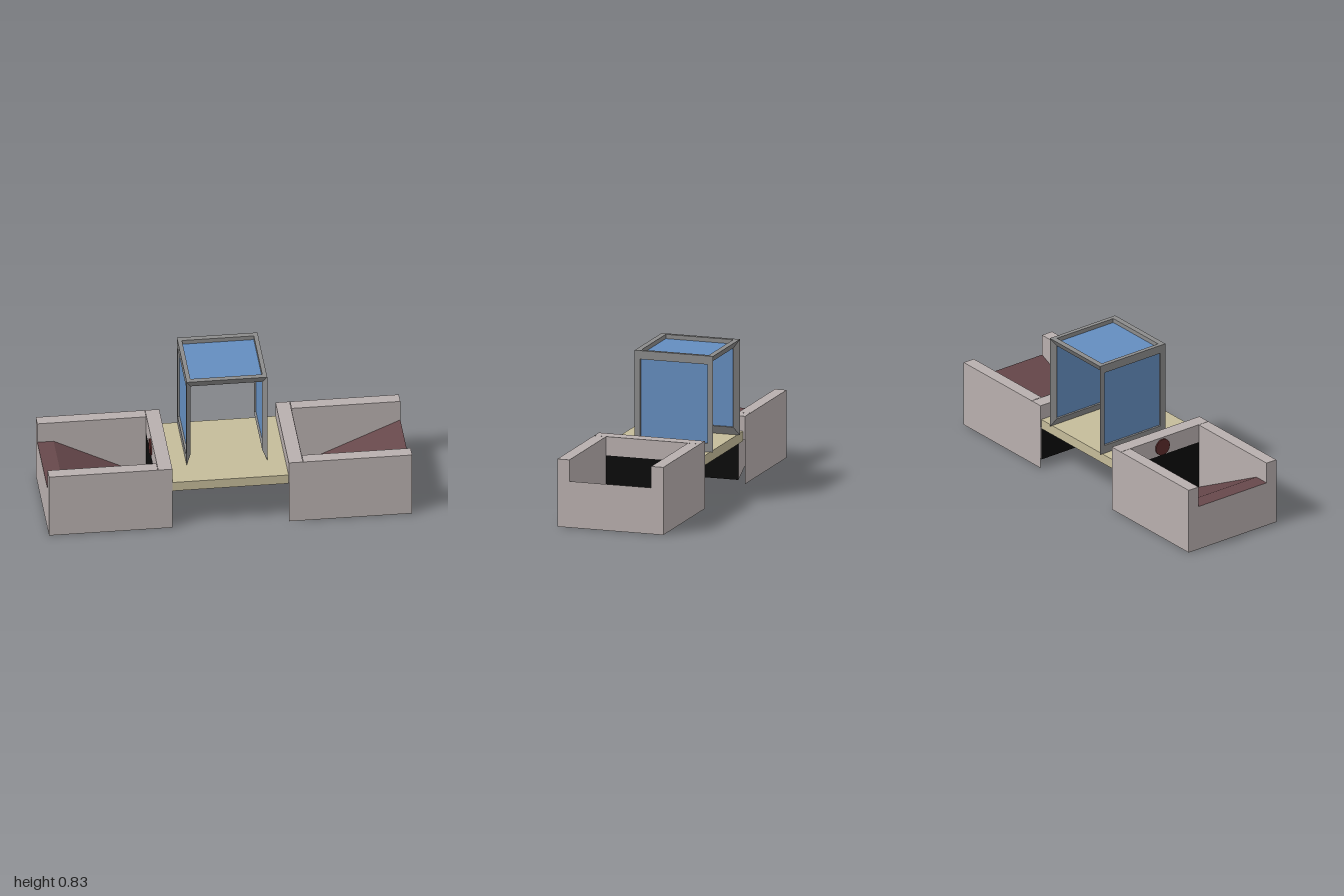
import * as THREE from 'three';

const mat = (name, color) => {
  const m = new THREE.MeshStandardMaterial({ color, side: THREE.DoubleSide });
  m.name = name;
  return m;
};

// Flat-sided surface from polygons, each fanned from its first corner
function surface(name, polys, material) {
  const pos = [];
  for (const p of polys) {
    for (let i = 1; i < p.length - 1; i++) pos.push(...p[0], ...p[i], ...p[i + 1]);
  }
  const g = new THREE.BufferGeometry();
  g.setAttribute('position', new THREE.Float32BufferAttribute(pos, 3));
  g.computeVertexNormals();
  const mesh = new THREE.Mesh(g, material);
  mesh.name = name;
  return mesh;
}

function box(name, x0, x1, y0, y1, z0, z1, material) {
  const m = new THREE.Mesh(new THREE.BoxGeometry(x1 - x0, y1 - y0, z1 - z0), material);
  m.position.set((x0 + x1) / 2, (y0 + y1) / 2, (z0 + z1) / 2);
  m.name = name;
  return m;
}

export function createModel() {
  const concrete = mat('concrete', 0xb8afae);
  const floor = mat('sandFloor', 0xc5bc9a);
  const metal = mat('frameGrey', 0x8b8b8b);
  const glass = mat('blueGlass', 0x648dbf);
  const rampRed = mat('rampRed', 0x67484b);
  const black = mat('tunnelBlack', 0x0b0b0b);
  const signRed = mat('signRed', 0x5c2b2b);

  const model = new THREE.Group();
  model.name = 'bridgeWithRamps';

  // Ramp enclosure: an open-bottomed shell; s is the side, cz the z centre, kink where the slope starts
  function enclosure(name, s, cz, half, kink) {
    const g = new THREE.Group();
    g.name = name;
    const xi = 0.32, xw = 0.4, xo = 1, top = 0.38, lip = 0.26, inner = 0.2375;
    const P = (x, y, z) => [s * x, y, cz + z];
    const walls = [];
    for (const d of [-1, 1]) {
      const zo = d * half, zi = d * inner;
      // outer skin, top rim, end post and inner skin above the ramp
      walls.push([P(xi, 0, zo), P(xo, 0, zo), P(xo, top, zo), P(xi, top, zo)]);
      walls.push([P(xw, top, zo), P(xo, top, zo), P(xo, top, zi), P(xw, top, zi)]);
      walls.push([P(xo, lip, zo), P(xo, top, zo), P(xo, top, zi), P(xo, lip, zi)]);
      const skin = [P(kink, lip, zi), P(xw, 0, zi), P(xw, top, zi), P(xo, top, zi)];
      if (kink < xo) skin.push(P(xo, lip, zi));
      walls.push(skin);
    }
    walls.push([P(xo, 0, -half), P(xo, 0, half), P(xo, lip, half), P(xo, lip, -half)]);
    g.add(surface('walls', walls, concrete));

    // lintel over the tunnel mouth
    const a = Math.min(s * xi, s * (xw - 0.002)), b = Math.max(s * xi, s * (xw - 0.002));
    g.add(box('lintel', a, b, 0.25, top, cz - half, cz + half, concrete));
    g.add(surface('lintelInnerFace', [[P(xw, 0.275, -inner), P(xw, 0.275, inner),
      P(xw, top, inner), P(xw, top, -inner)]], concrete));
    g.add(surface('tunnelMouth', [[P(xw, 0, -inner), P(xw, 0, inner),
      P(xw, 0.275, inner), P(xw, 0.275, -inner)]], black));

    // sloping roadway, with a flat landing when the slope starts early
    const road = [[P(xw, 0, -inner), P(xw, 0, inner), P(kink, lip, inner), P(kink, lip, -inner)]];
    if (kink < xo) {
      road.push([P(kink, lip, -inner), P(kink, lip, inner), P(xo, lip, inner), P(xo, lip, -inner)]);
    }
    g.add(surface('ramp', road, rampRed));
    model.add(g);
    return g;
  }
  enclosure('leftEnclosure', 1, 0.0075, 0.3075, 1);
  const right = enclosure('rightEnclosure', -1, -0.0025, 0.305, 0.91);

  // Round sign over the right tunnel mouth
  const sign = new THREE.Mesh(new THREE.CylinderGeometry(0.048, 0.048, 0.008, 16), signRed);
  sign.rotation.z = Math.PI / 2;
  sign.position.set(-0.404, 0.325, -0.02);
  sign.name = 'sign';
  right.add(sign);

  // Bridge deck: a shallow tray open underneath
  const [dx, y0, y1, zb, zf] = [0.32, 0.24, 0.295, -0.295, 0.305];
  const deck = [[[-dx, y1, zf], [dx, y1, zf], [dx, y1, zb], [-dx, y1, zb]]];
  for (const z of [zb, zf]) deck.push([[-dx, y0, z], [dx, y0, z], [dx, y1, z], [-dx, y1, z]]);
  model.add(surface('bridgeDeck', deck, floor));

  // Glazed frame: outer border, straight reveal and chamfer sloping in to the opening
  const A = { x: 0.222, y0: 0.296, y1: 0.835, z0: -0.313, z1: 0.142 };
  const B = { x: 0.198, y0: 0.343, y1: 0.787, z0: -0.281, z1: 0.11 };
  function glazedPanel(name, corner) {
    const g = new THREE.Group();
    g.name = name;
    const out = [], hole = [], back = [], pane = [];
    for (let i = 0; i < 4; i++) {
      const u = i === 1 || i === 2, v = i > 1;
      out.push(corner(A, u, v, 0));
      hole.push(corner(B, u, v, 0));
      back.push(corner(B, u, v, 1));
      pane.push(corner(B, u, v, 0.5));
    }
    const faces = [];
    for (let i = 0; i < 4; i++) {
      const j = (i + 1) % 4;
      faces.push([out[i], out[j], hole[j], hole[i]]);
      faces.push([hole[i], hole[j], back[j], back[i]]);
      faces.push([back[i], back[j], out[j], out[i]]);
    }
    g.add(surface('frame', faces, metal), surface('glass', [pane], glass));
    model.add(g);
  }
  for (const s of [1, -1]) {
    glazedPanel(s > 0 ? 'leftWindow' : 'rightWindow', (r, u, v, d) =>
      [s * THREE.MathUtils.lerp(A.x, B.x, d), v ? r.y1 : r.y0, u ? r.z1 : r.z0]);
  }
  glazedPanel('skylight', (r, u, v, d) =>
    [u ? r.x : -r.x, THREE.MathUtils.lerp(A.y1, B.y1, d), v ? r.z1 : r.z0]);

  return model;
}
